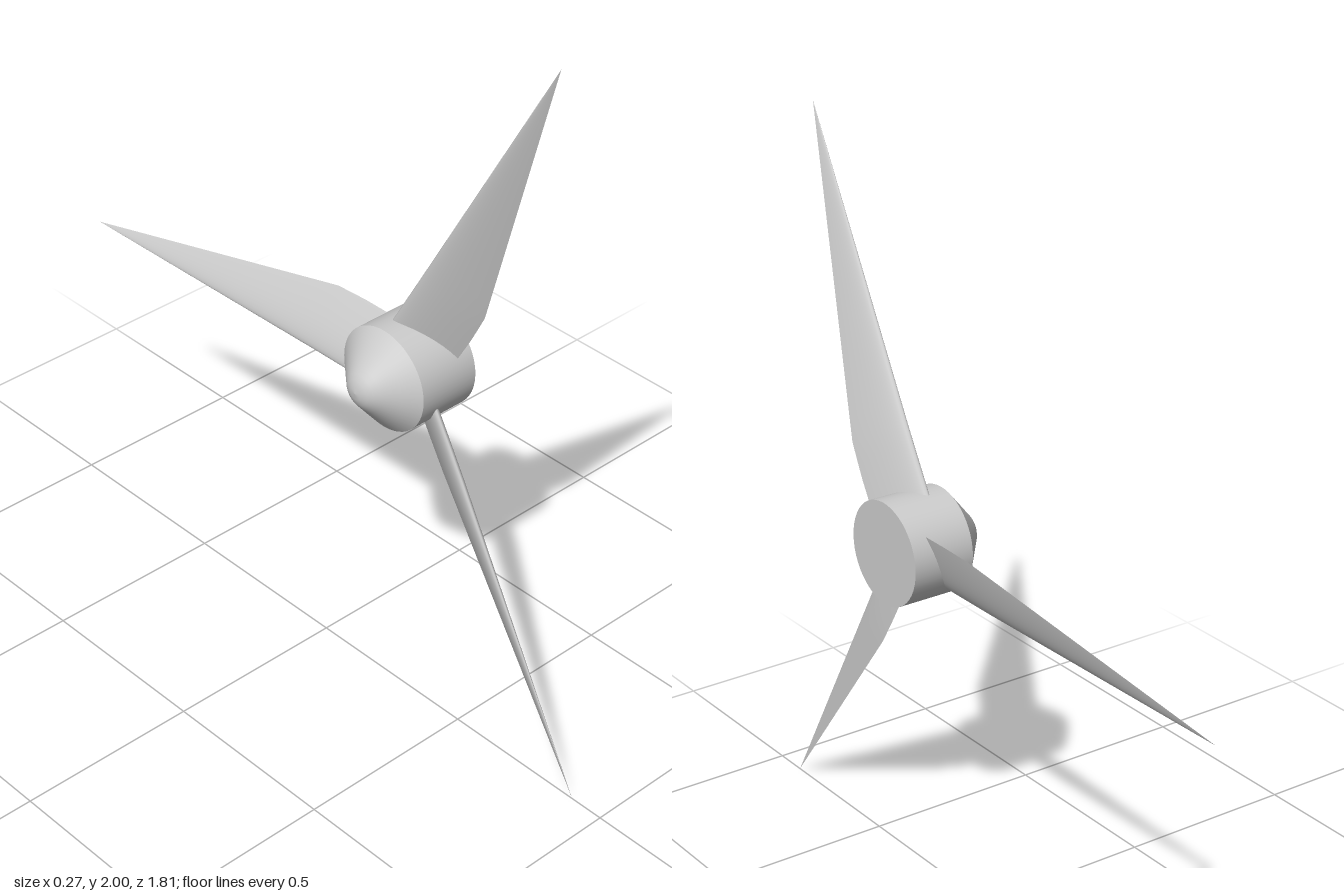
import * as THREE from 'three';

const material = new THREE.MeshStandardMaterial({ color: 0xcccccc, side: THREE.DoubleSide });

// One twisted aerofoil blade running along -z, tapering to a point at its leading edge.
function bladeGeometry() {
  const stations = [0.02, 0.12, 0.2, 0.25, 0.3, 0.36, 0.45, 0.6, 0.75, 0.9, 1.05, 1.155];
  const steps = 32, pitch = 0.43, chord = 0.184, thickness = 0.15;
  const position = [], index = [];
  // full width near the root, a softened shoulder, then a straight taper
  const width = (r) => {
    const d = (1.155 - r) / 0.875;
    return Math.min(d, 1, r > 0.24 && r < 0.4 ? 1 - 0.6 * (r - 0.24) ** 2 / 0.16 - 0.01 : 1);
  };
  for (const r of stations) {
    const s = width(r);
    for (let i = 0; i <= steps; i++) {
      // trailing edge -> leading edge on one face, back along the other
      const a = (i / steps) * Math.PI * 2;
      const t = (1 + Math.cos(a)) / 2;
      const half = 5 * thickness * (0.2969 * Math.sqrt(t) - 0.126 * t - 0.3516 * t * t
        + 0.2843 * t ** 3 - 0.1036 * t ** 4);
      const off = Math.sign(Math.sin(a)) * Math.max(half, 0) * chord;
      const x = 0.012 + Math.sin(pitch) * t * chord + Math.cos(pitch) * off;
      const y = Math.cos(pitch) * t * chord - Math.sin(pitch) * off;
      position.push(x * s, -0.09 + y * s, -r);
    }
  }
  const row = steps + 1;
  for (let k = 0; k < stations.length - 1; k++) {
    for (let i = 0; i < steps; i++) {
      const a = k * row + i, c = a + row;
      index.push(a, a + 1, c, a + 1, c + 1, c);
    }
  }
  const g = new THREE.BufferGeometry();
  g.setAttribute('position', new THREE.Float32BufferAttribute(position, 3));
  g.setIndex(index);
  g.computeVertexNormals();
  return g;
}

export function createModel() {
  const rotor = new THREE.Group();
  rotor.name = 'rotor';
  rotor.position.set(0, 0.956, 0.25);

  const add = (name, geometry) => {
    const mesh = new THREE.Mesh(geometry, material);
    mesh.name = name;
    rotor.add(mesh);
    return mesh;
  };

  // Hub drum on the x axis
  const hub = add('hub', new THREE.CylinderGeometry(0.141, 0.141, 0.176, 48));
  hub.rotation.z = Math.PI / 2;
  hub.position.x = 0.048;

  // Conical nose with a rounded tip, pointing to -x
  const profile = [[0.141, 0.04], [0.1, 0.075], [0.062, 0.107], [0.048, 0.119],
    [0.034, 0.128], [0.018, 0.134], [0, 0.136]].map(([r, y]) => new THREE.Vector2(r, y));
  add('noseCone', new THREE.LatheGeometry(profile, 48)).rotation.z = Math.PI / 2;

  // Three blades evenly spaced about the hub
  const blade = bladeGeometry();
  for (let i = 0; i < 3; i++) add(`blade${i + 1}`, blade).rotation.x = (i * Math.PI * 2) / 3;

  const model = new THREE.Group();
  model.name = 'turbineRotor';
  model.add(rotor);
  return model;
}
